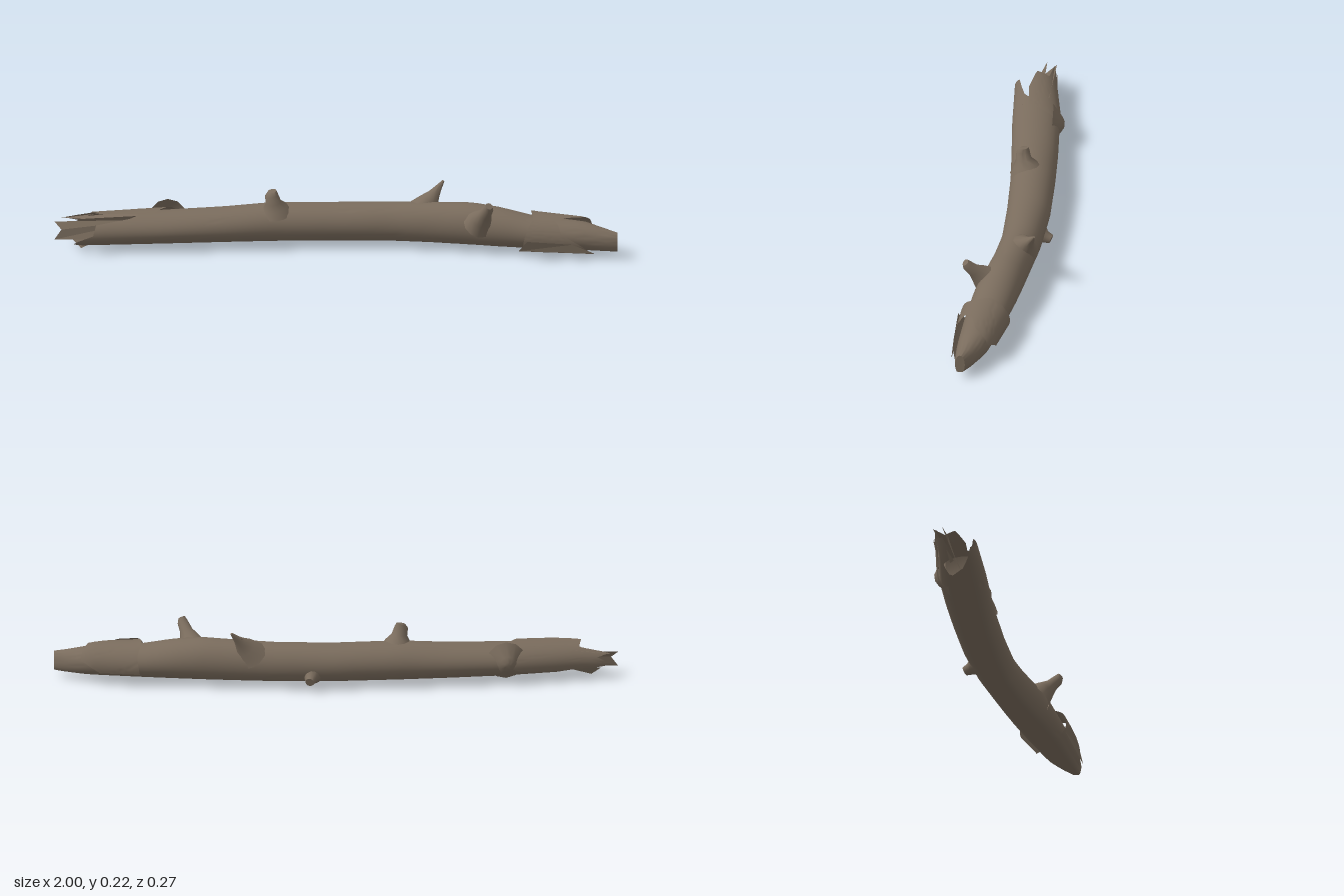
import * as THREE from 'three';
import { toCreasedNormals } from 'three/addons/utils/BufferGeometryUtils.js';

const FLOOR = 0.03;
// log sections: x, back z, front z, top y
const SECTIONS = [
  [-1.0, -0.015, 0.12, 0.12], [-0.87, -0.03, 0.112, 0.128], [-0.6, -0.08, 0.09, 0.135],
  [-0.4, -0.098, 0.068, 0.143], [-0.22, -0.11, 0.05, 0.157], [0, -0.118, 0.037, 0.156],
  [0.2, -0.11, 0.032, 0.16], [0.34, -0.095, 0.045, 0.166], [0.48, -0.08, 0.068, 0.172],
  [0.58, -0.066, 0.087, 0.16], [0.7, -0.043, 0.1, 0.136], [0.88, -0.005, 0.107, 0.125],
  [0.95, 0.03, 0.108, 0.108], [1.0, 0.068, 0.103, 0.098],
];

const deg = Math.PI / 180;

// linear lookup in rows sorted by their first value
function lookup(rows, x) {
  let i = 0;
  while (i < rows.length - 2 && x > rows[i + 1][0]) i++;
  const a = rows[i], b = rows[i + 1];
  const t = THREE.MathUtils.clamp((x - a[0]) / (b[0] - a[0]), 0, 1);
  return a.map((v, k) => v + (b[k] - v) * t);
}

// point on the log: angle 0 is the front, 90 the top, 180 the back
function onLog(x, a, lift = 0) {
  const [, back, front, top] = lookup(SECTIONS, x);
  const h = top - FLOOR, s = Math.sin(a);
  const y = FLOOR + h * 0.45 + (h * 0.55 + lift) * s;
  const z = (back + front) / 2 + ((front - back) / 2 + lift) * Math.cos(a);
  return new THREE.Vector3(x, Math.max(y, FLOOR - lift * 0.2), z);
}

// surface from a function of u and v in 0..1
function sheet(nu, nv, fn, crease = 0.8) {
  const pos = [], index = [];
  for (let i = 0; i <= nu; i++)
    for (let j = 0; j <= nv; j++) pos.push(...fn(i / nu, j / nv).toArray());
  for (let i = 0; i < nu; i++)
    for (let j = 0; j < nv; j++) {
      const a = i * (nv + 1) + j, b = a + nv + 1;
      index.push(a, b, b + 1, a, b + 1, a + 1);
    }
  const g = new THREE.BufferGeometry();
  g.setAttribute('position', new THREE.Float32BufferAttribute(pos, 3));
  g.setIndex(index);
  return toCreasedNormals(g, crease);
}

// patch of bark between two angles, with a start and end x for each angle (degrees)
function bark(starts, ends, lift) {
  const a0 = starts[0][0], a1 = starts[starts.length - 1][0];
  return sheet(10, 24, (u, v) => {
    const a = a0 + (a1 - a0) * v;
    const x = THREE.MathUtils.lerp(lookup(starts, a)[1], lookup(ends, a)[1], u);
    return onLog(x, a * deg, lift);
  });
}

// broken branch: rows of x, y, z, radius; closed at the tip
function branch(rows) {
  const p = rows.map((r) => new THREE.Vector3(r[0], r[1], r[2]));
  const t = p[p.length - 1].clone().sub(p[0]).normalize();
  const e1 = new THREE.Vector3(1, 0, 0).addScaledVector(t, -t.x).normalize();
  const e2 = t.clone().cross(e1);
  const all = [...rows.map((r) => r[3]), 0];
  p.push(p[p.length - 1].clone());
  return sheet(all.length - 1, 12, (u, v) => {
    const i = Math.round(u * (all.length - 1)), a = v * Math.PI * 2;
    return p[i].clone().addScaledVector(e1, Math.cos(a) * all[i])
      .addScaledVector(e2, -Math.sin(a) * all[i]);
  }, 0.9);
}

// flat splinter from corner points
function splinter(corners) {
  const g = new THREE.BufferGeometry();
  g.setAttribute('position', new THREE.Float32BufferAttribute(corners.flat(), 3));
  const index = [];
  for (let i = 1; i < corners.length - 1; i++) index.push(0, i, i + 1);
  g.setIndex(index);
  return toCreasedNormals(g, 0.1);
}

export function createModel() {
  const group = new THREE.Group();
  const wood = new THREE.MeshStandardMaterial({ color: 0x7a6c5d, side: THREE.DoubleSide });
  wood.name = 'weathered brown bark';
  const add = (name, geometry) => {
    const m = new THREE.Mesh(geometry, wood);
    m.name = name;
    group.add(m);
  };

  // curved trunk, hollow and torn at the right end
  const torn = [[0, -0.86], [40, -0.85], [62, -0.72], [80, -0.7], [105, -0.84], [150, -0.9],
    [185, -0.96], [215, -0.84], [245, -0.72], [280, -0.78], [318, -0.93], [335, -0.92], [360, -0.86]];
  add('trunk', sheet(48, 36, (u, v) => {
    const x = THREE.MathUtils.lerp(lookup(torn, v * 360)[1], 1, u);
    return onLog(x, v * Math.PI * 2);
  }));

  // rounded tip closing the left end
  add('trunkTip', sheet(1, 36, (u, v) => {
    const p = onLog(1, v * Math.PI * 2);
    return u ? new THREE.Vector3(1, 0.065, 0.085) : p;
  }));

  // dark hollow closed deep inside the torn end
  add('hollowEnd', sheet(1, 36, (u, v) => {
    const p = onLog(-0.66, v * Math.PI * 2);
    return u ? p : new THREE.Vector3(-0.64, 0.075, 0.01);
  }));

  // bark slab along the back of the torn end
  add('backBark', bark(
    [[75, -0.76], [95, -0.87], [130, -0.86], [150, -0.97], [172, -0.9], [190, -0.98], [205, -0.9]],
    [[75, -0.64], [110, -0.6], [150, -0.57], [180, -0.6], [205, -0.66]], 0.009));

  // loose bark around the left end
  add('topBark', bark(
    [[20, 0.68], [60, 0.7], [100, 0.69], [150, 0.71], [200, 0.7]],
    [[20, 0.79], [45, 0.77], [70, 0.8], [95, 0.88], [125, 0.9], [160, 0.91], [200, 0.84]], 0.016));
  add('frontBark', bark(
    [[-40, 0.66], [0, 0.67], [40, 0.69], [70, 0.71]],
    [[-40, 0.92], [-10, 0.87], [20, 0.8], [45, 0.79], [70, 0.76]], 0.02));

  // broken branches
  add('topBranch', branch([[-0.215, 0.125, -0.01, 0.062], [-0.218, 0.152, -0.003, 0.045],
    [-0.223, 0.172, 0.004, 0.028], [-0.23, 0.2, 0.007, 0.024], [-0.228, 0.214, 0.004, 0.016]]));
  add('backBranch', branch([[0.3, 0.12, -0.055, 0.058], [0.325, 0.155, -0.065, 0.038],
    [0.345, 0.18, -0.08, 0.021], [0.36, 0.2, -0.093, 0.012], [0.377, 0.222, -0.105, 0.004]]));
  add('backBranchFork', branch([[0.342, 0.175, -0.078, 0.02], [0.347, 0.199, -0.092, 0.007]]));
  add('frontBranch', branch([[0.505, 0.11, 0.045, 0.055], [0.517, 0.14, 0.07, 0.038],
    [0.53, 0.165, 0.092, 0.023], [0.542, 0.19, 0.113, 0.019], [0.545, 0.204, 0.12, 0.013]]));

  // small knots low on the back
  add('backKnot', branch([[0.09, 0.06, -0.09, 0.04], [0.095, 0.05, -0.112, 0.022],
    [0.1, 0.045, -0.133, 0.016]]));
  add('backBump', branch([[-0.6, 0.09, -0.05, 0.07], [-0.605, 0.085, -0.085, 0.03],
    [-0.605, 0.085, -0.096, 0.012]]));

  // torn splinters
  add('endSplinters', splinter([[-0.68, 0.1, 0.0], [-1, 0.095, 0.012], [-0.975, 0.07, 0.028],
    [-1, 0.035, 0.034], [-0.72, 0.035, 0.03]]));
  add('upperSplinter', splinter([[-0.7, 0.132, -0.03], [-0.98, 0.098, -0.025], [-0.9, 0.105, 0.01],
    [-0.7, 0.125, 0.03]]));
  add('hangingSplinter', splinter([[-0.8, 0.045, 0.0], [-0.94, 0.035, 0.015], [-0.905, 0.004, 0.035]]));
  add('frontSplinter', splinter([[0.65, 0.036, 0.118], [0.92, 0.032, 0.126], [0.84, 0.065, 0.127],
    [0.68, 0.075, 0.13]]));
  return group;
}
